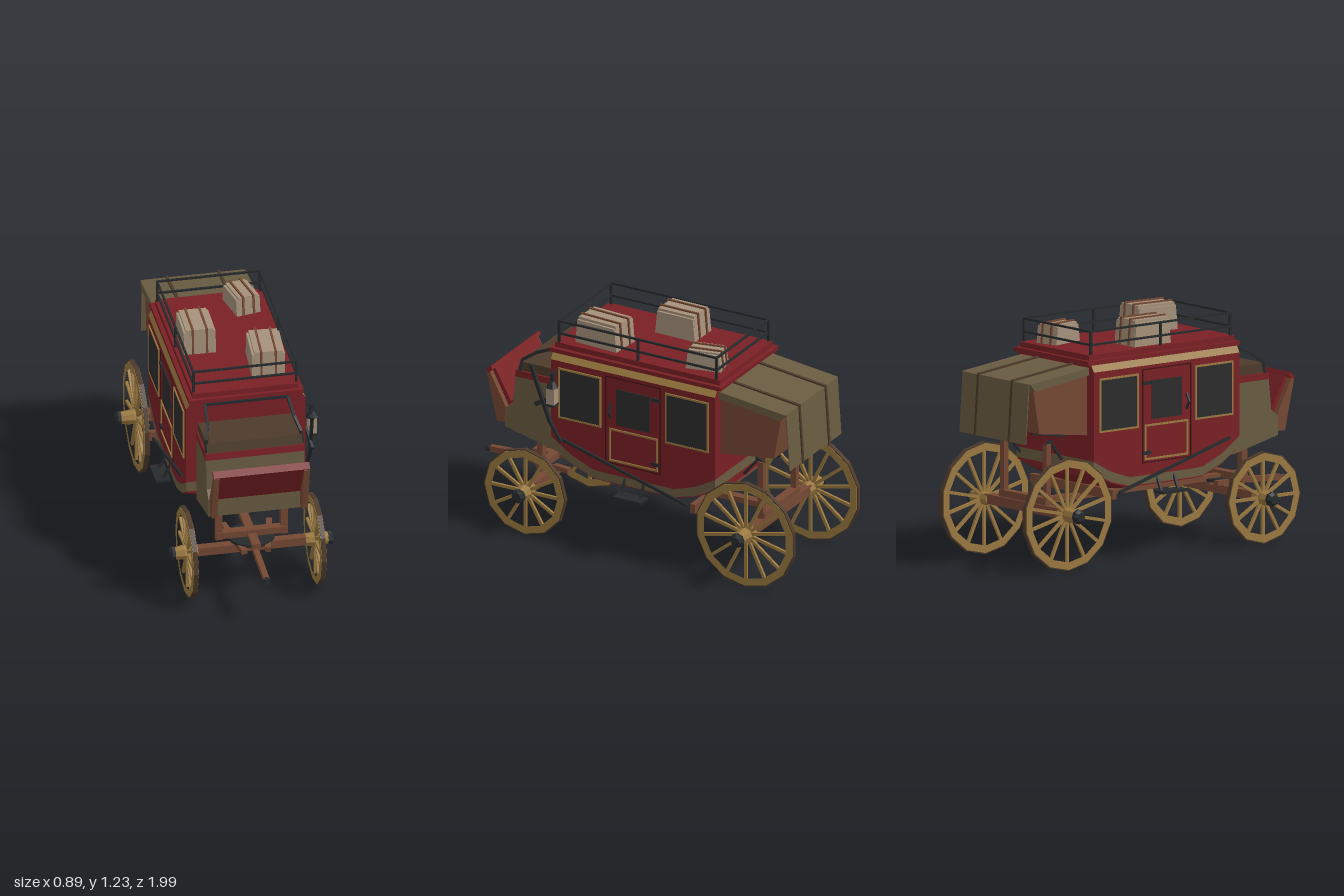
import * as THREE from 'three';

const mat = (name, color, double) => {
  const m = new THREE.MeshStandardMaterial({ color });
  m.name = name;
  if (double) m.side = THREE.DoubleSide;
  return m;
};
const red = mat('red paint', 0x7a2024), tan = mat('tan wood', 0x9a7840), brown = mat('brown wood', 0x754833),
  olive = mat('olive canvas', 0x695b41, true), dark = mat('dark leather', 0x4d3a2b), iron = mat('black iron', 0x262a2c),
  glass = mat('dark window', 0x2c2c2c), luggage = mat('luggage tan', 0xa5917a), maroon = mat('door groove', 0x3f1114);

export function createModel() {
  const root = new THREE.Group();
  root.name = 'stagecoach';

  // ---- helpers: every mesh is faceted ----
  const add = (name, geo, material, parent = root) => {
    const g = geo.index ? geo.toNonIndexed() : geo;
    g.computeVertexNormals();
    const m = new THREE.Mesh(g, material);
    m.name = name;
    parent.add(m);
    return m;
  };
  const box = (name, w, h, d, x, y, z, material, parent) =>
    add(name, new THREE.BoxGeometry(w, h, d).translate(x, y, z), material, parent);
  // outline given as [z, y], extruded across x
  const slab = (name, pts, width, x, material, parent) => {
    const shape = new THREE.Shape(pts.map(p => new THREE.Vector2(...p)));
    const g = new THREE.ExtrudeGeometry(shape, { depth: width, bevelEnabled: false });
    return add(name, g.translate(0, 0, -width / 2).rotateY(-Math.PI / 2).translate(x, 0, 0), material, parent);
  };
  // straight bar between two points
  const bar = (name, a, b, w, h, material, parent) => {
    const p = new THREE.Vector3(...a), q = new THREE.Vector3(...b);
    const m = add(name, new THREE.BoxGeometry(w, h, p.distanceTo(q)), material, parent);
    m.position.copy(p).lerp(q, 0.5);
    m.lookAt(q);
    return m;
  };
  const both = fn => [1, -1].forEach(fn);
  const curve = pts => z => {
    let i = 1;
    while (i < pts.length - 1 && z > pts[i][0]) i++;
    const [a, b] = [pts[i - 1], pts[i]];
    return a[1] + (b[1] - a[1]) * (z - a[0]) / (b[0] - a[0]);
  };

  // ---- coach body: boxes whose top and bottom follow the curved belly ----
  const beltTop = curve([[-0.51, 0.54], [-0.4, 0.478], [-0.27, 0.435], [0.2, 0.435], [0.33, 0.49], [0.45, 0.57]]);
  const beltLow = curve([[-0.51, 0.485], [-0.4, 0.425], [-0.27, 0.39], [0.2, 0.39], [0.33, 0.44], [0.45, 0.515]]);
  const hull = (name, width, top, bottom, material) => {
    const g = new THREE.BoxGeometry(width, 1, 0.96, 8, 1, 16).translate(0, 0, -0.03);
    const p = g.attributes.position;
    for (let i = 0; i < p.count; i++) {
      const x = p.getX(i), z = p.getZ(i);
      p.setY(i, p.getY(i) > 0 ? top(z, x) : bottom(z, x));
    }
    add(name, g, material);
  };
  hull('coachBody', 0.62, () => 1.0, beltTop, red);
  hull('lowerBelt', 0.616, beltTop, beltLow, olive);
  hull('belly', 0.6, beltLow, (z, x) => beltLow(z) - 0.008 - 0.032 * (1 - (x / 0.3) ** 2), red);

  // slanted cornice, tan along the sides
  const cornice = new THREE.BoxGeometry(0.62, 0.04, 0.96).translate(0, 1.02, -0.03);
  const cp = cornice.attributes.position;
  for (let i = 0; i < cp.count; i++) if (cp.getY(i) > 1.02) cp.setX(i, Math.sign(cp.getX(i)) * 0.285);
  add('cornice', cornice, [tan, tan, red, red, red, red]);
  box('roofLower', 0.595, 0.022, 1.0, 0, 1.046, -0.035, red);
  box('roofUpper', 0.55, 0.028, 0.96, 0, 1.071, -0.035, red);

  // ---- windows, doors, handles ----
  const frame = (name, z0, z1, y0, y1, t, x, s, material) => {
    const zc = (z0 + z1) / 2, yc = (y0 + y1) / 2;
    [y0, y1].forEach(y => box(name, 0.008, t, z1 - z0 + t, s * x, y, zc, material));
    [z0, z1].forEach(z => box(name, 0.008, y1 - y0 - t, t, s * x, yc, z, material));
  };
  both(s => {
    [[0.16, 0.4], [-0.47, -0.225]].forEach(([a, b]) => {
      box('sideWindow', 0.006, 0.265, b - a, s * 0.312, 0.825, (a + b) / 2, glass);
      frame('windowFrame', a, b, 0.69, 0.96, 0.01, 0.313, s, tan);
    });
    frame('doorGroove', -0.19, 0.128, 0.5, 0.98, 0.006, 0.309, s, maroon);
    box('doorWindow', 0.006, 0.2, 0.195, s * 0.312, 0.82, -0.032, glass);
    frame('doorPanelTrim', -0.172, 0.103, 0.517, 0.69, 0.01, 0.312, s, tan);
    [0.91, 0.55].forEach(y => box('doorHinge', 0.014, 0.018, 0.05, s * 0.313, y, -0.165, iron));
    bar('doorHandle', [s * 0.31, 0.83, 0.1], [s * 0.333, 0.79, 0.1], 0.01, 0.01, iron);
    bar('doorHandle', [s * 0.333, 0.79, 0.1], [s * 0.31, 0.75, 0.1], 0.01, 0.01, iron);
    // step and hanging strap
    box('stepPlate', 0.078, 0.014, 0.16, s * 0.345, 0.345, -0.035, iron);
    [-0.09, 0.02].forEach(z => bar('stepHanger', [s * 0.3, 0.43, z], [s * 0.34, 0.345, z], 0.012, 0.012, iron));
    bar('hangingStrap', [s * 0.318, 0.57, 0.38], [s * 0.318, 0.365, -0.35], 0.012, 0.014, iron);
  });

  // ---- roof rail ----
  [1.135, 1.203].forEach(y => {
    both(s => box('railSide', 0.01, 0.01, 0.925, s * 0.267, y, -0.035, iron));
    [0.425, -0.495].forEach(z => box('railEnd', 0.54, 0.01, 0.01, 0, y, z, iron));
  });
  both(s => [0.425, -0.035, -0.495].forEach(z => box('railPost', 0.012, 0.12, 0.012, s * 0.267, 1.143, z, iron)));

  // ---- luggage with straps ----
  [[0.145, -0.37, 0.13, 0.1, 0.19, 0.2], [-0.155, -0.06, 0.165, 0.135, 0.235, -0.02],
    [0.148, 0.225, 0.17, 0.14, 0.25, -0.07]].forEach(([x, z, w, h, d, turn]) => {
    const g = new THREE.Group();
    g.name = 'trunk';
    g.position.set(x, 1.085, z);
    g.rotation.y = turn;
    root.add(g);
    const trapezoid = e => [[-d / 2 - e, 0], [d / 2 + e, 0], [d / 2 - 0.012 + e, h + e], [-d / 2 + 0.012 - e, h + e]];
    slab('trunkCase', trapezoid(0), w - 0.024, 0, luggage, g);
    both(s => {
      slab('trunkEdge', trapezoid(0).map(([a, b]) => [a, b * 0.9]), 0.012, s * (w / 2 - 0.006), luggage, g);
      slab('trunkStrap', trapezoid(0.008), 0.01, s * w * 0.22, brown, g);
    });
  });

  // ---- driver's box, seat and footboard ----
  slab('driverBox', [[0.45, 0.83], [0.45, 0.465], [0.75, 0.535], [0.75, 0.635], [0.705, 0.67], [0.688, 0.83]], 0.51, 0, olive);
  slab('seatBand', [[0.45, 0.865], [0.45, 0.83], [0.69, 0.83], [0.685, 0.865]], 0.515, 0, red);
  slab('seatCushion', [[0.45, 0.915], [0.45, 0.865], [0.68, 0.865], [0.665, 0.915]], 0.495, 0, dark);
  slab('footboard', [[0.86, 0.825], [0.835, 0.845], [0.735, 0.665], [0.745, 0.635], [0.755, 0.635]], 0.44, 0, red);
  slab('footboardLip', [[0.865, 0.825], [0.835, 0.85], [0.825, 0.832], [0.85, 0.808]], 0.5, 0, red);
  both(s => {
    slab('footboardBracket', [[0.86, 0.815], [0.845, 0.825], [0.748, 0.64], [0.75, 0.555], [0.8, 0.553]], 0.03, s * 0.235, brown);
    const path = [[0.25, 0.86, 0.665], [0.245, 0.925, 0.655], [0.225, 0.975, 0.58], [0.215, 1.025, 0.46]];
    for (let i = 1; i < path.length; i++)
      bar('seatRail', [s * path[i - 1][0], path[i - 1][1], path[i - 1][2]], [s * path[i][0], path[i][1], path[i][2]], 0.014, 0.014, iron);
  });
  box('seatBackRail', 0.44, 0.014, 0.014, 0, 1.025, 0.46, iron);

  // brake lever and lantern on the left side
  bar('brakeLever', [0.322, 0.95, 0.56], [0.335, 0.66, 0.44], 0.016, 0.02, iron);
  bar('brakeRod', [0.335, 0.66, 0.44], [0.33, 0.56, 0.38], 0.014, 0.014, iron);
  bar('brakeArm', [0.33, 0.74, 0.53], [0.32, 0.8, 0.42], 0.014, 0.022, iron);
  box('lantern', 0.045, 0.09, 0.045, 0.349, 0.82, 0.42, luggage);
  box('lanternBase', 0.05, 0.012, 0.05, 0.349, 0.77, 0.42, iron);
  add('lanternCap', new THREE.CylinderGeometry(0.012, 0.033, 0.035, 6).translate(0.349, 0.882, 0.42), iron);
  box('lanternChimney', 0.02, 0.04, 0.02, 0.345, 0.918, 0.42, iron);
  box('lanternBracket', 0.04, 0.012, 0.012, 0.325, 0.938, 0.42, iron);

  // ---- rear boot under a canvas cover ----
  slab('rearBoot', [[-0.51, 0.99], [-0.51, 0.67], [-0.825, 0.71], [-0.865, 0.94]], 0.51, 0, brown);
  slab('canvasTop', [[-0.51, 1.02], [-0.51, 0.982], [-0.865, 0.935], [-0.9, 0.975]], 0.545, 0, olive);
  slab('canvasBack', [[-0.896, 0.975], [-0.919, 0.665], [-0.923, 0.665], [-0.902, 0.975]], 0.53, 0, olive);
  both(s => {
    bar('canvasStrap', [s * 0.135, 1.023, -0.51], [s * 0.135, 0.978, -0.905], 0.016, 0.01, dark);
    bar('canvasStrap', [s * 0.135, 0.98, -0.904], [s * 0.135, 0.66, -0.926], 0.016, 0.008, dark);
    bar('bootStay', [s * 0.2, 0.67, -0.61], [s * 0.2, 0.705, -0.83], 0.01, 0.01, iron);
  });

  // ---- undercarriage ----
  bar('perch', [0, 0.31, 0.72], [0, 0.31, -0.7], 0.045, 0.03, brown);
  bar('pole', [0, 0.285, 0.5], [0, 0.26, 0.985], 0.03, 0.03, brown);
  add('poleTip', new THREE.CylinderGeometry(0.02, 0.02, 0.025, 8).rotateX(Math.PI / 2).translate(0, 0.26, 0.9875), iron);
  box('poleSocket', 0.17, 0.03, 0.06, 0, 0.278, 0.64, brown);
  box('frontAxle', 0.6, 0.045, 0.045, 0, 0.243, 0.585, brown);
  box('rearAxle', 0.6, 0.05, 0.05, 0, 0.295, -0.705, brown);
  add('turntable', new THREE.CylinderGeometry(0.12, 0.12, 0.014, 16).translate(0, 0.3, 0.585), iron);
  box('frontBolster', 0.37, 0.035, 0.045, 0, 0.325, 0.585, brown);
  box('rearBolster', 0.37, 0.035, 0.045, 0, 0.34, -0.705, brown);
  box('crossbeam', 0.66, 0.05, 0.028, 0, 0.36, -0.39, brown);
  both(s => {
    box('frontPost', 0.036, 0.19, 0.034, s * 0.17, 0.395, 0.585, brown);
    box('rearPost', 0.034, 0.34, 0.03, s * 0.17, 0.465, -0.705, brown);
    bar('rearStay', [s * 0.17, 0.54, -0.6], [s * 0.17, 0.65, -0.69], 0.012, 0.012, iron);
    bar('stayTop', [s * 0.17, 0.65, -0.67], [s * 0.17, 0.63, -0.72], 0.014, 0.012, iron);
    bar('hound', [s * 0.12, 0.3, 0.45], [s * 0.06, 0.285, 0.72], 0.03, 0.025, brown);
  });

  // ---- wheels ----
  const ring = (outer, inner, sides, depth) => {
    const pts = r => Array.from({ length: sides }, (_, i) => {
      const a = i * 2 * Math.PI / sides;
      return new THREE.Vector2(r * Math.sin(a), r * Math.cos(a));
    });
    const shape = new THREE.Shape(pts(outer));
    shape.holes.push(new THREE.Path(pts(inner)));
    return new THREE.ExtrudeGeometry(shape, { depth, bevelEnabled: false }).translate(0, 0, -depth / 2).rotateY(Math.PI / 2);
  };
  const wheel = (name, side, r, z, spokes, hubEnd) => {
    const g = new THREE.Group();
    g.name = name;
    g.position.set(side * 0.332, r + 0.002, z);
    if (side < 0) g.rotation.y = Math.PI;
    root.add(g);
    add('rim', ring(r - 0.006, r - 0.045, spokes, 0.028), tan, g);
    add('tread', ring(r, r - 0.008, spokes, 0.024), dark, g);
    for (let i = 0; i < spokes; i++) {
      const a = i * 2 * Math.PI / spokes, len = r - 0.06;
      add('spoke', new THREE.BoxGeometry(0.014, len, 0.016).translate(0, len / 2 + 0.025, 0).rotateX(a), tan, g);
    }
    const hub = (part, r0, r1, x0, x1, m) =>
      add(part, new THREE.CylinderGeometry(r1, r0, x1 - x0, 8).rotateZ(-Math.PI / 2).translate((x0 + x1) / 2, 0, 0), m, g);
    hub('hubInner', 0.033, 0.04, -0.052, 0.018, tan);
    hub('hubOuter', 0.04, 0.032, 0.018, hubEnd, tan);
    hub('hubBand', 0.038, 0.038, hubEnd, hubEnd + 0.016, iron);
    hub('hubCap', 0.038, 0.024, hubEnd + 0.016, hubEnd + 0.03, iron);
  };
  both(s => {
    wheel('frontWheel', s, 0.238, 0.585, 12, 0.065);
    wheel('rearWheel', s, 0.29, -0.705, 14, 0.083);
  });
  return root;
}
